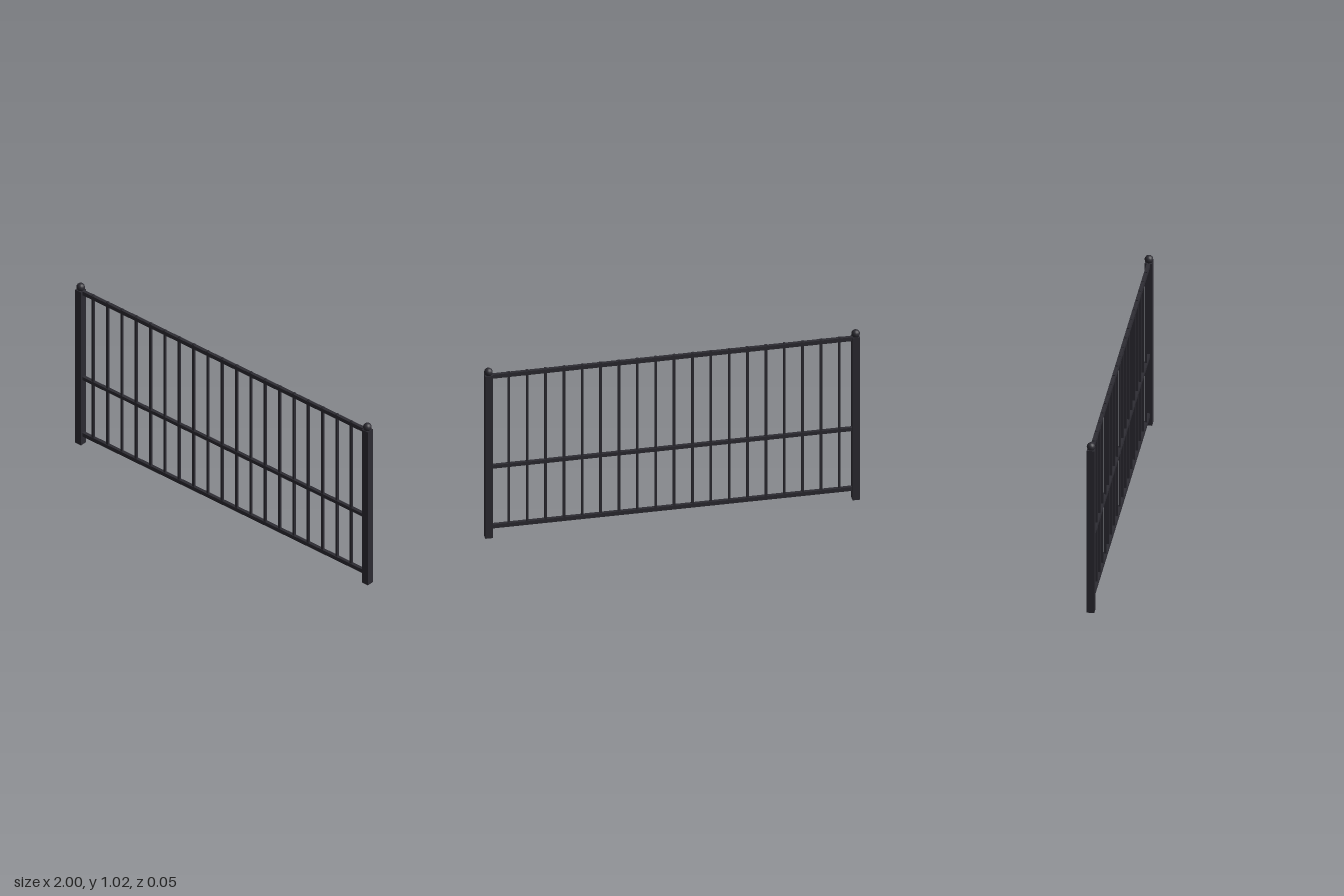
import * as THREE from 'three';

export function createModel() {
  const group = new THREE.Group();
  group.name = 'railing';
  const iron = new THREE.MeshStandardMaterial({ color: 0x2d2c33 });
  iron.name = 'dark iron';

  const add = (name, geometry, x, y) => {
    const mesh = new THREE.Mesh(geometry, iron);
    mesh.name = name;
    mesh.position.set(x, y, 0);
    group.add(mesh);
  };

  // Square end posts with ball finials
  const postX = 0.977;
  const post = new THREE.BoxGeometry(0.04, 0.977, 0.04);
  const ball = new THREE.SphereGeometry(0.023, 12, 10);
  for (const [side, x] of [['left', postX], ['right', -postX]]) {
    add(side + 'Post', post, x, 0.977 / 2);
    add(side + 'Finial', ball, x, 0.993);
  }

  // Horizontal rails spanning the posts
  const rails = [['bottomRail', 0.063, 0.023], ['middleRail', 0.422, 0.02], ['topRail', 0.966, 0.023]];
  for (const [name, y, height] of rails) {
    add(name, new THREE.BoxGeometry(2 * postX, height, 0.018), 0, y);
  }

  // Evenly spaced square bars, set slightly to one side, tips just above the top rail
  const gaps = 20, low = 0.063, high = 0.982, shift = -0.011;
  const bar = new THREE.BoxGeometry(0.012, high - low, 0.013);
  for (let i = 1; i < gaps; i++) {
    add('bar' + i, bar, -postX + (2 * postX * i) / gaps + shift, (low + high) / 2);
  }
  return group;
}
